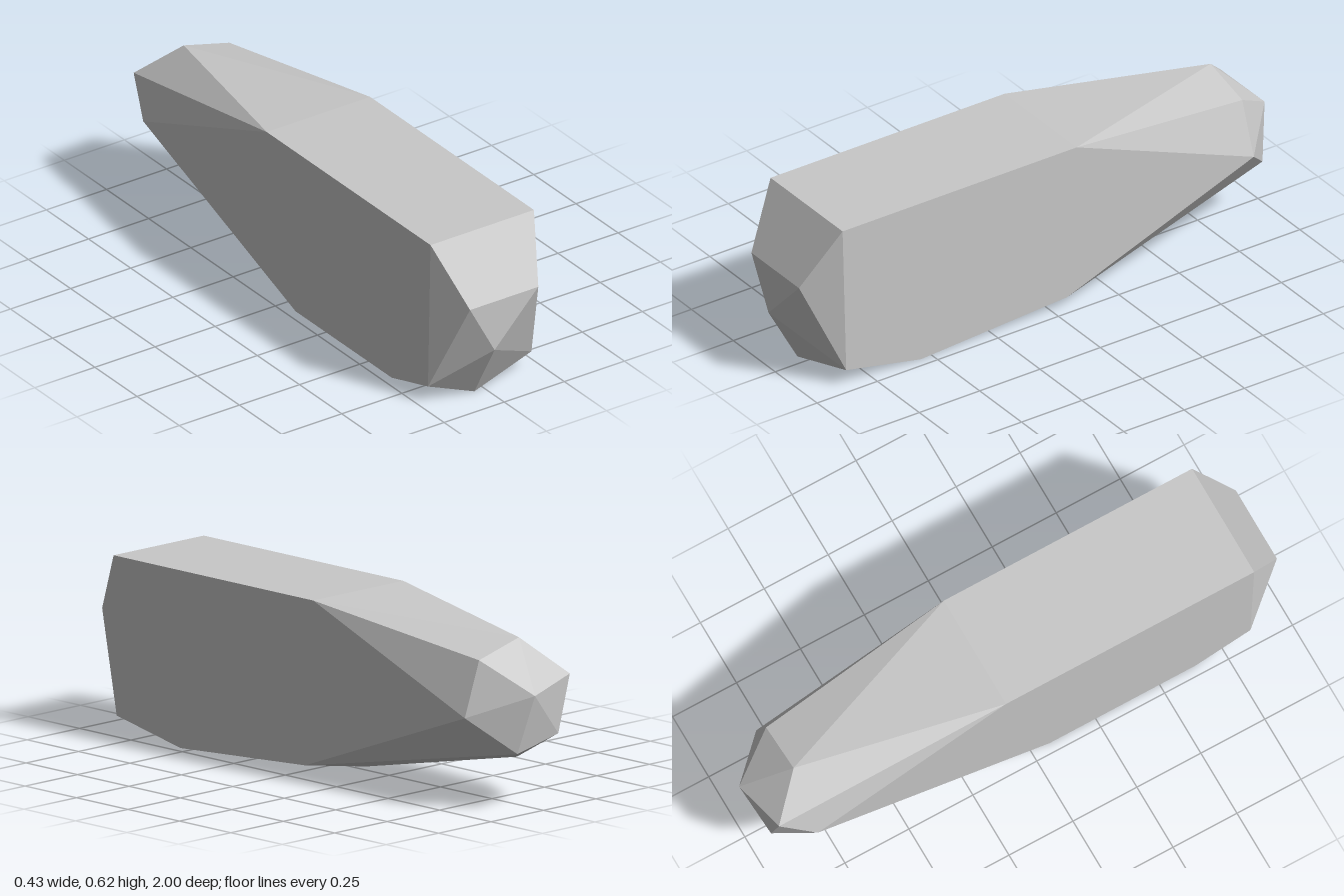
import * as THREE from 'three';
import { ConvexGeometry } from 'three/addons/geometries/ConvexGeometry.js';

const stoneGrey = new THREE.MeshStandardMaterial({ color: 0xc8c8c8 });
stoneGrey.name = 'stoneGrey';

export function createModel() {
  const group = new THREE.Group();
  group.name = 'stone';

  // corners shared by both flanks, mirrored in x
  const mirrored = [
    [0.215, 0.62, 0.87], [0.215, 0.62, -0.1],   // flat top
    [0.142, 0.403, 1],                          // front brow
    [0.215, 0.063, 0.855],                      // front lower corner
    [0.213, 0.328, -0.835],                     // rear of the flank
  ];
  // chipped corners that differ from side to side
  const single = [
    [-0.04, 0.215, 1], [-0.04, 0, 0.88],        // front point and keel
    [0.215, 0, 0.545], [0.215, 0.038, -0.06],   // lower edge on the +x side
    [-0.215, 0, 0.64], [-0.215, 0, 0.07],       // lower edge on the -x side
    [-0.04, 0, -0.1], [-0.04, 0.153, -0.83],    // underside
    [-0.045, 0.57, -0.835], [0.145, 0.52, -0.835], // rear top
    [0.04, 0.405, -1], [-0.165, 0.445, -0.96],  // rear tip
    [0.085, 0.203, -0.96], [-0.11, 0.245, -0.96],
  ];
  const points = single.map((p) => new THREE.Vector3(...p));
  for (const [x, y, z] of mirrored) {
    for (const s of [1, -1]) points.push(new THREE.Vector3(s * x, y, z));
  }

  // faceted body wrapped around the corners
  const body = new THREE.Mesh(new ConvexGeometry(points), stoneGrey);
  body.name = 'stoneBody';
  group.add(body);
  return group;
}
